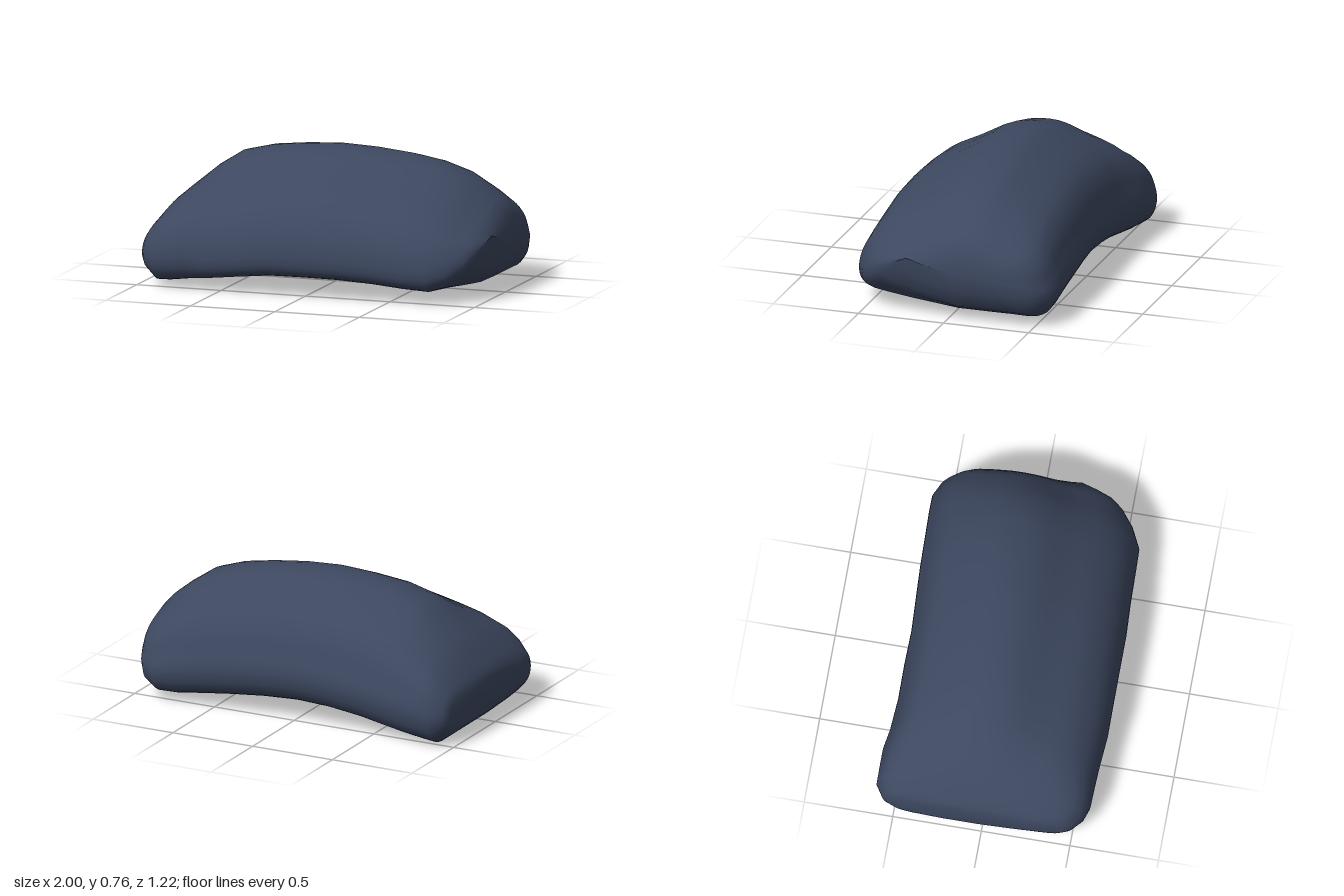
import * as THREE from 'three';

// Cross-section as (z, y) fractions: top, front, underside, back
const MIDDLE = [
  [0.06, 0.985], [0.4, 0.83], [0.71, 0.68], [0.9, 0.5], [0.99, 0.3], [1, 0.12], [0.94, 0.03],
  [0.7, 0], [0, 0], [-0.55, 0], [-0.82, 0.01], [-0.95, 0.1], [-1, 0.27], [-0.95, 0.45],
  [-0.89, 0.61], [-0.77, 0.76], [-0.45, 0.93], [-0.24, 1],
];

// Fuller section that the -x end blends towards
const END = [
  [0.06, 1], [0.4, 0.95], [0.71, 0.84], [0.9, 0.69], [0.99, 0.47], [1, 0.24], [0.92, 0.07],
  [0.7, 0], [0, 0], [-0.5, 0], [-0.76, 0.01], [-0.93, 0.12], [-1, 0.36], [-0.98, 0.55],
  [-0.92, 0.73], [-0.79, 0.87], [-0.47, 0.97], [-0.24, 1],
];

// Stations along the length: x, underside, top, back z, front z
const STATIONS = [
  [-1, 0.11, 0.28, -0.32, 0.3],
  [-0.985, 0.08, 0.32, -0.51, 0.45],
  [-0.96, 0.055, 0.36, -0.565, 0.5],
  [-0.89, 0.003, 0.45, -0.61, 0.555],
  [-0.82, 0.01, 0.51, -0.61, 0.58],
  [-0.7, 0.03, 0.61, -0.61, 0.585],
  [-0.58, 0.047, 0.685, -0.59, 0.59],
  [-0.4, 0.075, 0.73, -0.575, 0.605],
  [-0.2, 0.1, 0.75, -0.575, 0.605],
  [0, 0.107, 0.76, -0.57, 0.605],
  [0.2, 0.1, 0.75, -0.58, 0.605],
  [0.4, 0.083, 0.727, -0.59, 0.595],
  [0.58, 0.062, 0.695, -0.595, 0.59],
  [0.73, 0.042, 0.645, -0.6, 0.585],
  [0.84, 0.042, 0.57, -0.6, 0.53],
  [0.92, 0.08, 0.505, -0.56, 0.46],
  [0.96, 0.12, 0.465, -0.5, 0.4],
  [0.985, 0.18, 0.41, -0.44, 0.31],
  [1, 0.24, 0.35, -0.3, 0.22],
];

function smoothLoop(profile) {
  const points = profile.map(([z, y]) => new THREE.Vector3(z, y, 0));
  const curve = new THREE.CatmullRomCurve3(points, true, 'centripetal');
  return curve.getPoints(profile.length * 3).slice(0, -1);
}

function skinSections(middle, end, stations) {
  const n = middle.length, positions = [], index = [];
  for (const [x, low, high, back, front] of stations) {
    const mid = (back + front) / 2, half = (front - back) / 2;
    const blend = THREE.MathUtils.smoothstep(-x, 0.5, 0.92);
    // The underside rises towards the front, most at the +x corner
    const rise = 0.03 * Math.abs(x) + 0.3 * Math.max(0, x - 0.7);
    for (let j = 0; j < n; j++) {
      const p = middle[j].clone().lerp(end[j], blend);
      const tilt = rise * Math.max(0, p.x) * (1 - p.y);
      positions.push(x, low + (high - low) * p.y + tilt, mid + half * p.x);
    }
  }
  for (let i = 0; i < stations.length - 1; i++) {
    for (let j = 0; j < n; j++) {
      const a = i * n + j, b = i * n + (j + 1) % n;
      index.push(a, b, a + n, b, b + n, a + n);
    }
  }
  // Close both ends
  const last = (stations.length - 1) * n;
  for (const [start, station, flip] of [[0, stations[0], true], [last, stations.at(-1), false]]) {
    const centre = positions.length / 3;
    positions.push(station[0], (station[1] + station[2]) / 2, (station[3] + station[4]) / 2);
    for (let j = 0; j < n; j++) {
      const a = start + j, b = start + (j + 1) % n;
      index.push(centre, flip ? b : a, flip ? a : b);
    }
  }
  const geometry = new THREE.BufferGeometry();
  geometry.setAttribute('position', new THREE.Float32BufferAttribute(positions, 3));
  geometry.setIndex(index);
  geometry.computeVertexNormals();
  return geometry;
}

export function createModel() {
  const group = new THREE.Group();
  group.name = 'archedStone';

  const slate = new THREE.MeshStandardMaterial({ color: 0x3d4860 });
  slate.name = 'slate blue';

  const body = new THREE.Mesh(skinSections(smoothLoop(MIDDLE), smoothLoop(END), STATIONS), slate);
  body.name = 'stoneBody';
  group.add(body);
  return group;
}
